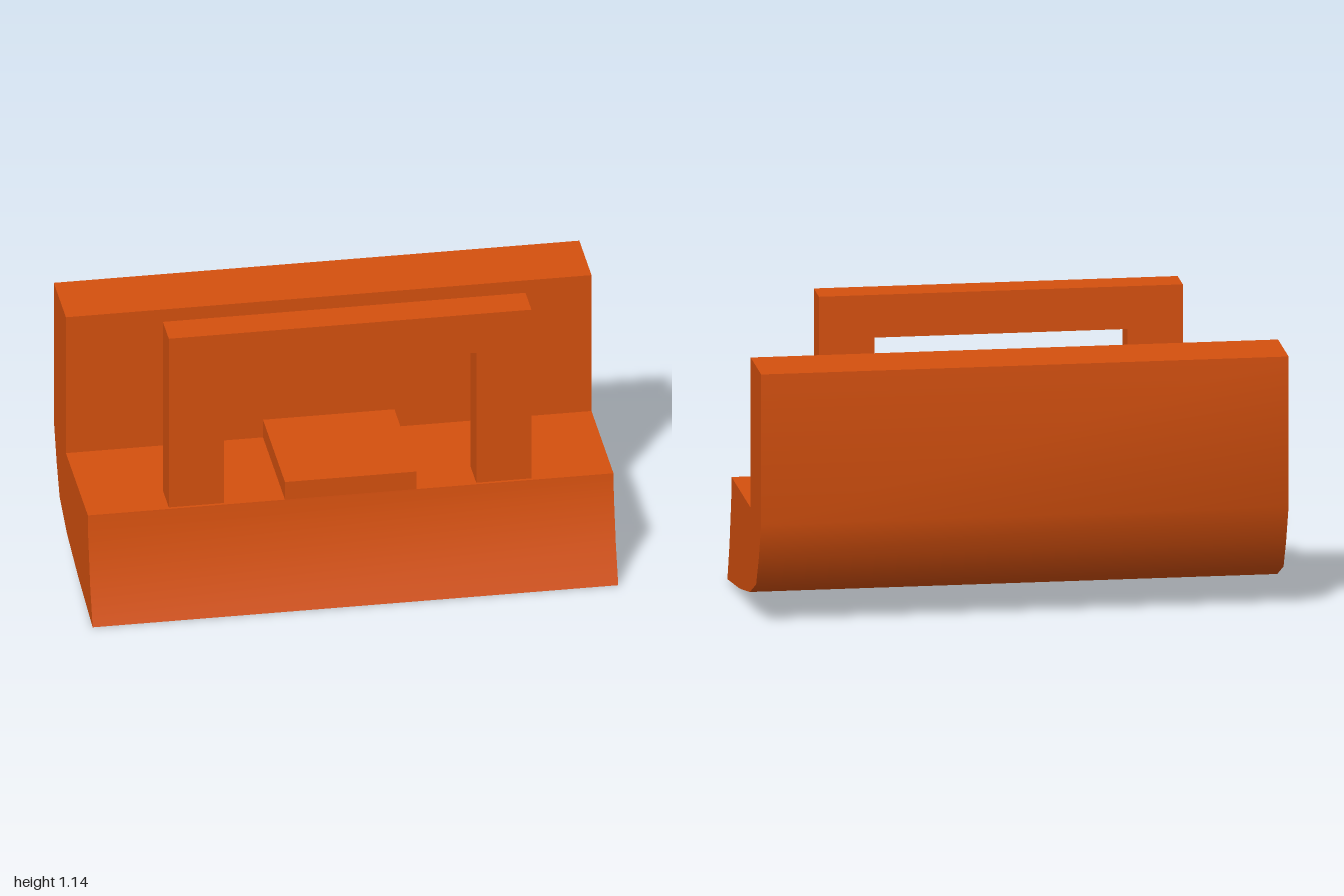
import * as THREE from 'three';
import { toCreasedNormals } from 'three/addons/utils/BufferGeometryUtils.js';

const orange = new THREE.MeshStandardMaterial({ color: 0xd4500e });
orange.name = 'orange';

// Extrudes a side profile of [z, y] points across the width, centred on x = 0
function sideExtrude(name, profile, width) {
  const shape = new THREE.Shape(profile.map(([z, y]) => new THREE.Vector2(z, y)));
  const geometry = new THREE.ExtrudeGeometry(shape, { depth: width, bevelEnabled: false });
  geometry.translate(0, 0, -width / 2);
  geometry.rotateY(-Math.PI / 2);
  const mesh = new THREE.Mesh(toCreasedNormals(geometry, 0.8), orange);
  mesh.name = name;
  return mesh;
}

export function createModel() {
  const group = new THREE.Group();
  group.name = 'bracketBlock';

  // Curved base with the tall back wall
  group.add(sideExtrude('baseAndBackWall', [
    [0.44, 0], [0.385, 0.145], [0.34, 0.33], [0.332, 0.42],
    [-0.165, 0.42], [-0.165, 1.0], [-0.44, 1.0], [-0.44, 0.42],
    [-0.375, 0.27], [-0.308, 0.158], [-0.145, 0.09], [0.12, 0.04],
  ], 2));

  // Raised pad between the frame legs
  group.add(sideExtrude('raisedPad', [
    [0.332, 0.42], [0.332, 0.495], [-0.165, 0.495], [-0.165, 0.42],
  ], 0.5));

  // Upright frame, open at the bottom
  const outline = [
    [-0.69, 0.42], [-0.48, 0.42], [-0.48, 0.975], [0.48, 0.975],
    [0.48, 0.42], [0.69, 0.42], [0.69, 1.14], [-0.69, 1.14],
  ];
  const frameShape = new THREE.Shape(outline.map(([x, y]) => new THREE.Vector2(x, y)));
  const frame = new THREE.Mesh(
    new THREE.ExtrudeGeometry(frameShape, { depth: 0.135, bevelEnabled: false }), orange);
  frame.position.z = 0.185;
  frame.name = 'uprightFrame';
  group.add(frame);

  return group;
}
